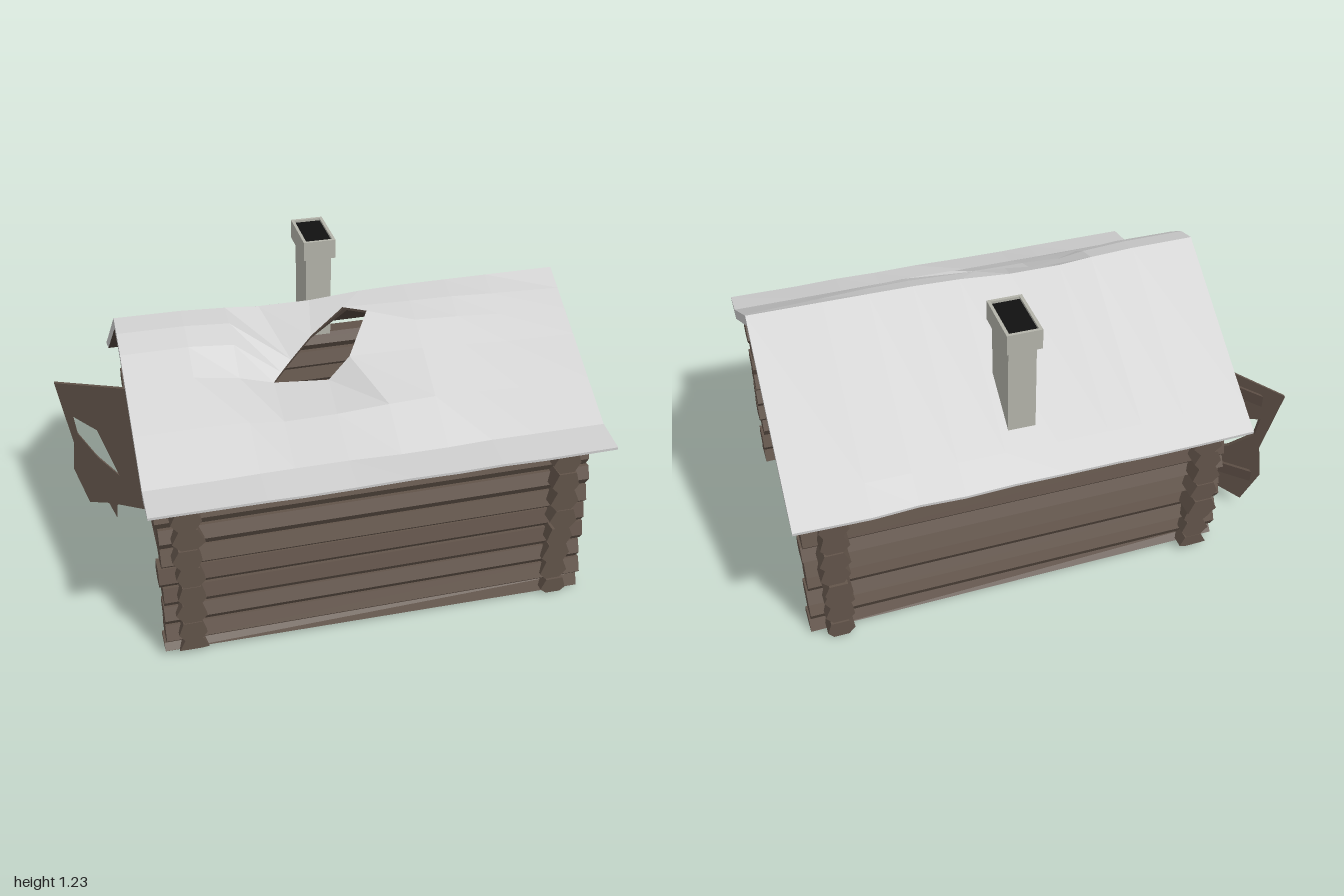
import * as THREE from 'three';

const mat = (color, side = THREE.FrontSide) =>
  new THREE.MeshStandardMaterial({ color, side, flatShading: true });

export function createModel() {
  const house = new THREE.Group();
  const wood = mat(0x62544a), plankWood = mat(0x5b4d44), snow = mat(0xcccccc);
  const stone = mat(0xb4b4aa), soot = mat(0x111111), lining = mat(0x50443c);

  let seed = 7;
  const jitter = (a) => {
    seed = (seed * 16807) % 2147483647;
    return (seed / 2147483647 - 0.5) * 2 * a;
  };
  const add = (name, geo, material, parent = house) => {
    const mesh = new THREE.Mesh(geo, material);
    mesh.name = name;
    parent.add(mesh);
    return mesh;
  };
  const polygon = (pts) => new THREE.Shape(pts.map(([x, y]) => new THREE.Vector2(x, y)));
  const moveVertices = (geo, rule) => {
    const p = geo.attributes.position, v = new THREE.Vector3();
    for (let i = 0; i < p.count; i++) {
      rule(v.fromBufferAttribute(p, i));
      p.setXYZ(i, v.x, v.y, v.z);
    }
    geo.computeVertexNormals();
    return geo;
  };

  // Log walls: six-sided logs, whose courses sink towards the back and right
  const COURSE = 0.088;
  const settle = (v) => {
    v.y *= 1 + 0.075 * (v.z - 0.53);
    v.y = THREE.MathUtils.clamp(v.y, 0.019 - 0.014 * v.x + 0.007 * v.z, 0.76);
  };
  function log(name, alongX, from, to, across, y, parent) {
    const bulge = () => [0.056 + jitter(0.006), 0.034 + jitter(0.01)];
    const [r, ry] = bulge(), [l, ly] = bulge();
    const section = polygon([[-0.03, 0], [0.03, 0], [r, ry], [0.035, COURSE], [-0.035, COURSE], [-l, ly]]);
    const geo = new THREE.ExtrudeGeometry(section, { depth: to - from, bevelEnabled: false });
    geo.translate(0, 0, from);
    if (alongX) geo.rotateY(Math.PI / 2);
    geo.translate(alongX ? 0 : across, y, alongX ? across : 0);
    add(name, moveVertices(geo, settle), wood, parent);
  }
  const section = (name) => {
    const g = new THREE.Group();
    g.name = name;
    house.add(g);
    return g;
  };
  const front = section('frontWall'), back = section('backWall');
  const rightWall = section('rightWall'), leftWall = section('leftWall');
  const end = () => jitter(0.007);
  for (let k = -1; k < 8; k++) {
    const y = 0.0575 + k * COURSE, ySide = y + 0.022;
    const rear = k < 2 ? -0.595 : -0.632;
    log('frontLog', true, -0.715 + end(), 0.968 + end(), 0.54 - 0.005 * k + end(), y, front);
    log('backLog', true, -0.715 + end(), 0.968 + end(), -0.495 - 0.005 * k + end(), y, back);
    log('rightLog', false, rear + end(), 0.615 + end(), 0.86 + end(), ySide, rightWall);
    if (k < 0 || k > 6) {
      log('leftLog', false, rear + end(), 0.615 + end(), -0.61, ySide, leftWall);
    } else {
      // Broken logs either side of the doorway
      log('leftBackLog', false, rear + end(), -0.19 + jitter(0.02), -0.61 + end(), ySide, leftWall);
      log('leftFrontLog', false, 0.25 + jitter(0.06), 0.615 + end(), -0.61 + end(), ySide, leftWall);
    }
  }

  // Floor boards laid edge to edge, every second one raised
  const floor = section('floor');
  for (let i = 0; i < 20; i++) {
    const geo = new THREE.BoxGeometry(1.46, 0.03, 0.0505);
    add('floorBoard', geo, plankWood, floor).position.set(0.125, 0.04 + (i % 2) * 0.012, -0.475 + i * 0.05);
  }

  // Gables of upright planks near the log ends, cut to the roof slope
  const RIDGE_Z = -0.035;
  const gableTop = (z) => 1.1 - (z > RIDGE_Z ? 0.577 : 0.717) * Math.abs(z - RIDGE_Z);
  const gableFoot = (z) => 0.703 + 0.045 * z;
  for (const [name, x] of [['rightGablePlank', 0.94], ['leftGablePlank', -0.695]]) {
    for (let i = 0; i < 13; i++) {
      const a = RIDGE_Z - 0.54 + i * 0.09, b = a + 0.09;
      const shape = polygon([[-a, gableFoot(a)], [-a, gableTop(a)], [-b, gableTop(b)], [-b, gableFoot(b)]]);
      const geo = new THREE.ExtrudeGeometry(shape, { depth: 0.025, bevelEnabled: false });
      add(name, geo.rotateY(Math.PI / 2).translate(x - 0.0125 + (i % 2) * 0.006, 0, 0), plankWood);
    }
  }

  // Roof slabs: a grid of points with optional missing cells, thin at the eaves and the hole
  const thickness = ({ x, z }) => (Math.abs(z) > 0.6 || (z > 0 && Math.abs(x) < 0.3) ? 0.01 : 0.045);
  function slab(name, points, missing) {
    const top = [], under = [];
    const quad = (out, a, b, c, d) =>
      [a, b, c, a, c, d].forEach((v) => out.push(v.x, v.y, v.z));
    const low = (v) => new THREE.Vector3(v.x, v.y - thickness(v), v.z);
    const nx = points.length - 1, nz = points[0].length - 1;
    for (let i = 0; i < nx; i++) for (let j = 0; j < nz; j++) {
      if (missing(i, j)) continue;
      const c = [points[i][j], points[i][j + 1], points[i + 1][j + 1], points[i + 1][j]];
      quad(top, ...c);
      quad(under, ...c.map(low).reverse());
      [[-1, 0], [0, 1], [1, 0], [0, -1]].forEach(([di, dj], e) => {
        const p = c[e], q = c[(e + 1) % 4], ni = i + di, nj = j + dj;
        const outside = ni < 0 || nj < 0 || ni >= nx || nj >= nz;
        if (outside) quad(top, p, low(p), low(q), q);
        else if (missing(ni, nj)) quad(under, p, low(p), low(q), q);
      });
    }
    for (const [part, data, m] of [['Snow', top, snow], ['Lining', under, lining]]) {
      const geo = new THREE.BufferGeometry();
      geo.setAttribute('position', new THREE.Float32BufferAttribute(data, 3));
      geo.computeVertexNormals();
      add(name + part, geo, m);
    }
  }
  const bell = (d, r) => Math.exp(-((d / r) ** 2));
  const ridgeY = (x) => 1.15 - 0.025 * bell(x + 0.1, 0.25);
  const frontY = (x, z) => {
    const t = (z - RIDGE_Z) / 0.605;
    if (t > 1) return 0.79 - (z - 0.57) * 0.19;
    const sag = 0.09 * bell(x + 0.09, 0.22) * bell(z - 0.26, 0.11);
    const swell = 0.033 * Math.min(t / 0.15, (1 - t) / 0.7, 1) * THREE.MathUtils.clamp((0.9 - x) / 0.6, 0, 1);
    return ridgeY(x) * (1 - t) + 0.785 * t - sag + swell;
  };
  const xs = [-0.752, -0.5, -0.33, -0.2, 0, 0.2, 0.38, 0.55, 0.72, 1];
  const zs = [RIDGE_Z, 0.05, 0.13, 0.23, 0.4, 0.57, 0.7];
  // Rim of the hole, replacing grid points 3-5 by 1-3
  const rim = {
    '3,1': [-0.12, 0.17], '4,1': [-0.03, 0.115], '5,1': [0.115, 0.035],
    '3,2': [-0.165, 0.2], '5,2': [0.2, 0.075],
    '3,3': [-0.2, 0.225], '4,3': [0.01, 0.235], '5,3': [0.1, 0.2],
  };
  slab('frontRoof', xs.map((x0, i) => zs.map((z0, j) => {
    const edge = j === 0 || i === 0 || i === xs.length - 1;
    const [x, z] = rim[i + ',' + j] || [x0, z0];
    return new THREE.Vector3(x, frontY(x, z) + (edge ? 0 : jitter(0.004)), z);
  })), (i, j) => (i === 3 || i === 4) && (j === 1 || j === 2));
  slab('backRoof', xs.map((x) => [
    new THREE.Vector3(x, 0.675, -0.695 + jitter(0.006)),
    new THREE.Vector3(x, 0.745 + (ridgeY(x) - 1.15) * 0.15, -0.595),
    new THREE.Vector3(x, ridgeY(x), RIDGE_Z),
  ]), () => false);

  // Chimney with a hollow cap
  add('chimneyShaft', new THREE.BoxGeometry(0.105, 0.375, 0.185), stone).position.set(0.117, 0.9725, -0.4375);
  const cap = polygon([[-0.066, -0.115], [0.066, -0.115], [0.066, 0.115], [-0.066, 0.115]]);
  cap.holes.push(polygon([[-0.054, -0.103], [-0.054, 0.103], [0.054, 0.103], [0.054, -0.103]]));
  const capGeo = new THREE.ExtrudeGeometry(cap, { depth: 0.08, bevelEnabled: false });
  add('chimneyCap', capGeo.rotateX(-Math.PI / 2), stone).position.set(0.117, 1.149, -0.44);
  add('chimneyFlue', new THREE.BoxGeometry(0.108, 0.066, 0.206), soot).position.set(0.117, 1.186, -0.44);

  // Broken door, swung open on its hinge side and sagging
  const swing = (v) => { v.z += -0.18 + (v.x + 0.66) * 0.92; };
  const door = polygon([[-0.66, 0.735], [-1, 0.63], [-0.95, 0.34], [-0.965, 0.2], [-0.915, 0.04],
    [-0.835, 0.075], [-0.808, 0.008], [-0.8, 0.085], [-0.66, 0.12]]);
  door.holes.push(polygon([[-0.94, 0.485], [-0.85, 0.455], [-0.78, 0.25], [-0.86, 0.31], [-0.93, 0.4]]));
  const doorGeo = new THREE.ExtrudeGeometry(door, { depth: 0.014, bevelEnabled: false });
  add('door', moveVertices(doorGeo, swing), mat(0x62544a, THREE.DoubleSide));
  for (const [y0, y1] of [[0.62, 0.56], [0.17, 0.16]]) {
    const batten = polygon([[-0.67, y0], [-0.67, y0 + 0.05], [-0.93, y1 + 0.05], [-0.93, y1]]);
    const geo = new THREE.ExtrudeGeometry(batten, { depth: 0.02, bevelEnabled: false });
    add('doorBatten', moveVertices(geo.translate(0, 0, -0.018), swing), plankWood);
  }
  return house;
}
